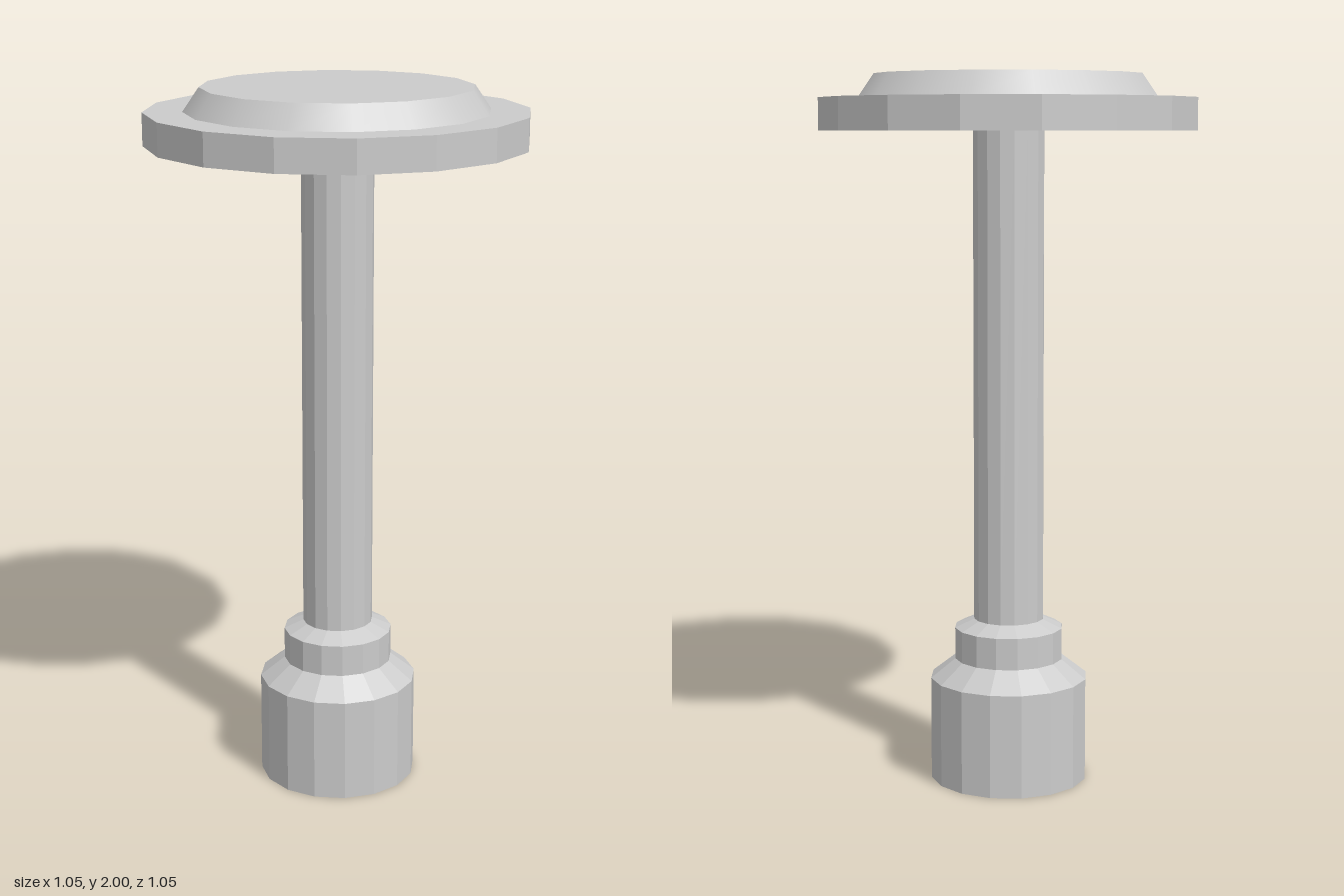
import * as THREE from 'three';

const SIDES = 16;

export function createModel() {
  const model = new THREE.Group();
  const flat = new THREE.MeshStandardMaterial({ color: 0xcccccc, flatShading: true });
  const shell = new THREE.MeshStandardMaterial({ color: 0xcccccc, flatShading: true, side: THREE.DoubleSide });
  const smooth = new THREE.MeshStandardMaterial({ color: 0xcccccc });

  // Frustum standing between two heights
  function addDrum(name, topRadius, bottomRadius, y0, y1, material, open = false) {
    const geometry = new THREE.CylinderGeometry(topRadius, bottomRadius, y1 - y0, SIDES, 1, open);
    const mesh = new THREE.Mesh(geometry, material);
    mesh.name = name;
    mesh.position.y = (y0 + y1) / 2;
    model.add(mesh);
  }

  // Hollow base: socket, sloped shoulder, collar and chamfer, open underneath
  const profile = [[0.225, 0], [0.225, 0.295], [0.155, 0.35], [0.155, 0.44], [0.1, 0.465]];
  const base = new THREE.Mesh(
    new THREE.LatheGeometry(profile.map(([r, y]) => new THREE.Vector2(r, y)), SIDES),
    shell
  );
  base.name = 'base';
  model.add(base);

  // Stem between base and head
  addDrum('stem', 0.1, 0.1, 0.465, 1.845, shell, true);

  // Head: wide disc with a bevelled cap
  addDrum('disc', 0.525, 0.525, 1.845, 1.935, flat);
  addDrum('cap', 0.372, 0.417, 1.935, 2, smooth);

  return model;
}
